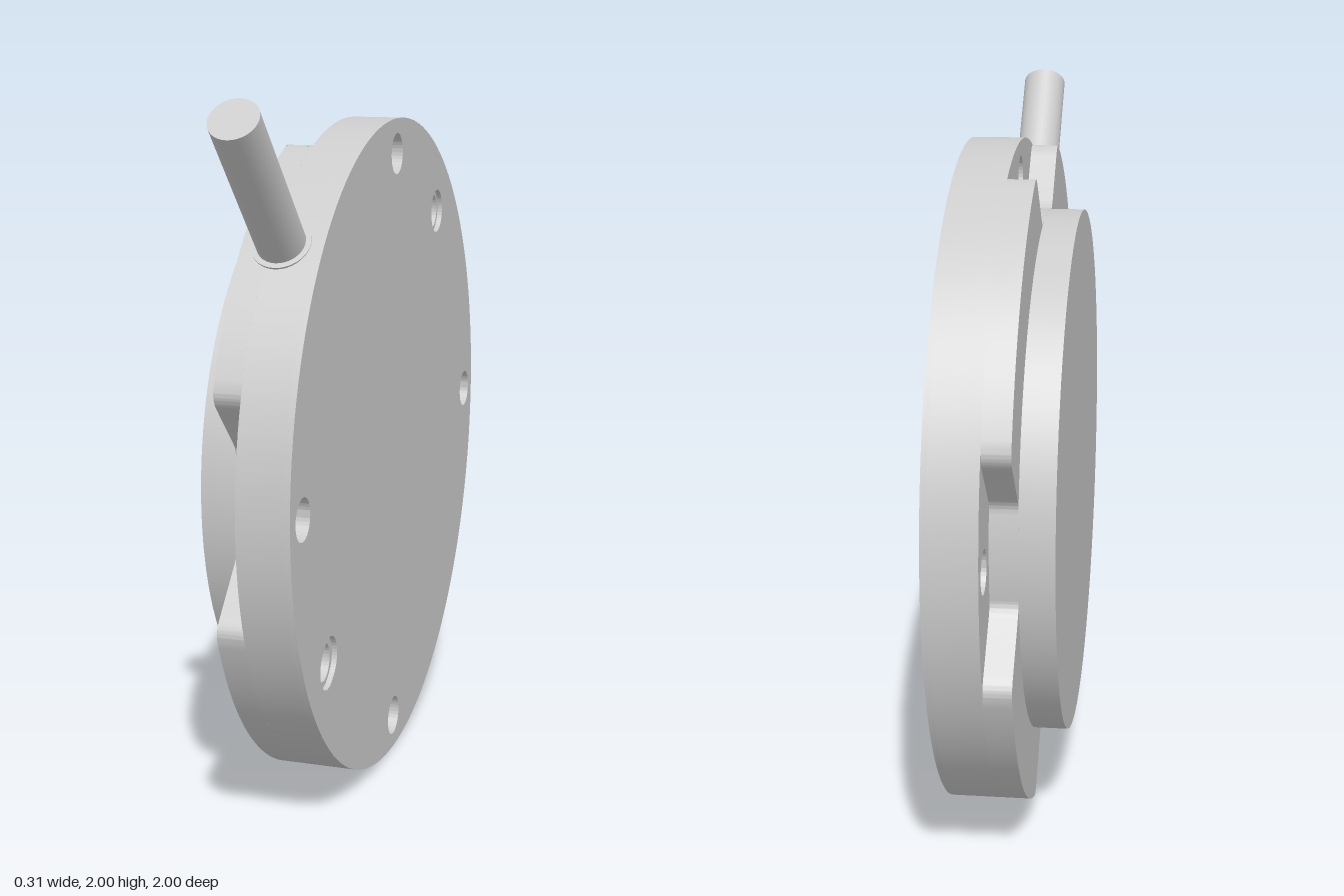
import * as THREE from 'three';
import { toCreasedNormals } from 'three/addons/utils/BufferGeometryUtils.js';

const R = 0.95;      // flange radius
const BOSS = 0.75;   // raised disc radius

export function createModel() {
  const model = new THREE.Group();
  const disc = new THREE.Group();
  disc.name = 'disc';
  disc.position.set(0, 0.95, -0.05);
  model.add(disc);
  const material = new THREE.MeshStandardMaterial({ color: 0xcccccc });

  const add = (name, geometry) => {
    const mesh = new THREE.Mesh(geometry, material);
    mesh.name = name;
    disc.add(mesh);
    return mesh;
  };

  // Extrude an outline along the x axis from x0 to x1 (shape x becomes -z)
  const plate = (name, shape, x0, x1, curveSegments) => {
    const g = new THREE.ExtrudeGeometry(shape, { depth: x1 - x0, bevelEnabled: false, curveSegments });
    g.translate(0, 0, x0).rotateY(Math.PI / 2);
    return add(name, toCreasedNormals(g, 0.5));
  };

  // Round hole, or a slot stretched along the radius
  const hole = (x, y, r, stretch = 0) => {
    const a = Math.atan2(y, x), p = new THREE.Path();
    const dx = Math.cos(a) * stretch, dy = Math.sin(a) * stretch;
    p.absarc(x + dx, y + dy, r, a - Math.PI / 2, a + Math.PI / 2);
    p.absarc(x - dx, y - dy, r, a + Math.PI / 2, a + Math.PI * 1.5);
    p.closePath();
    return p;
  };

  // Flange: four through holes and two stepped blind pockets
  const flangeShape = (pocketRadius, stretch) => {
    const s = new THREE.Shape();
    s.absarc(0, 0, R, 0, Math.PI * 2);
    for (const [x, y] of [[0.85, 0], [0, 0.85], [-0.85, 0], [0, -0.85]]) s.holes.push(hole(x, y, 0.058));
    s.holes.push(hole(0.455, 0.64, pocketRadius));
    s.holes.push(hole(-0.64, -0.455, pocketRadius, stretch));
    return s;
  };
  plate('flange', flangeShape(0.053, 0), 0.01, 0.14, 64);
  plate('flangeFace', flangeShape(0.065, 0.01), 0.14, 0.155, 64);

  // Lobed layer: a flared, rounded notch around every through hole
  const lobes = new THREE.Shape();
  const inner = Math.atan2(0.12, 0.74), outer = Math.atan2(0.33, 0.891);
  for (let i = 0; i < 4; i++) {
    const t = i * Math.PI / 2, next = t + Math.PI / 2;
    const at = (u, v, angle) => [
      u * Math.cos(angle) - v * Math.sin(angle),
      u * Math.sin(angle) + v * Math.cos(angle),
    ];
    lobes.absarc(0, 0, BOSS, t - inner, t + inner);
    lobes.quadraticCurveTo(...at(0.737, 0.14, t), ...at(0.76, 0.163, t));
    lobes.lineTo(...at(0.867, 0.27, t));
    lobes.quadraticCurveTo(...at(0.9, 0.3, t), ...at(0.891, 0.33, t));
    lobes.absarc(0, 0, R, t + outer, next - outer);
    lobes.quadraticCurveTo(...at(0.9, -0.3, next), ...at(0.867, -0.27, next));
    lobes.lineTo(...at(0.76, -0.163, next));
    lobes.quadraticCurveTo(...at(0.737, -0.14, next), ...at(0.74, -0.12, next));
  }
  plate('lobedLayer', lobes, -0.065, 0.01, 16);

  // Raised disc
  const boss = new THREE.CylinderGeometry(BOSS, BOSS, 0.095, 72);
  boss.rotateZ(Math.PI / 2).translate(-0.1125, 0, 0);
  add('raisedDisc', boss);

  // Radial rod with its socket rim, leaning 45 degrees up and forward
  const radial = (name, radius, from, to) => {
    const g = new THREE.CylinderGeometry(radius, radius, to - from, 32);
    g.translate(0, (from + to) / 2, 0).rotateX(Math.PI / 4).translate(0.04, 0, 0);
    return add(name, g);
  };
  radial('rod', 0.065, 0.85, 1.418);
  radial('rodSocket', 0.08, 0.88, 0.952);

  return model;
}
